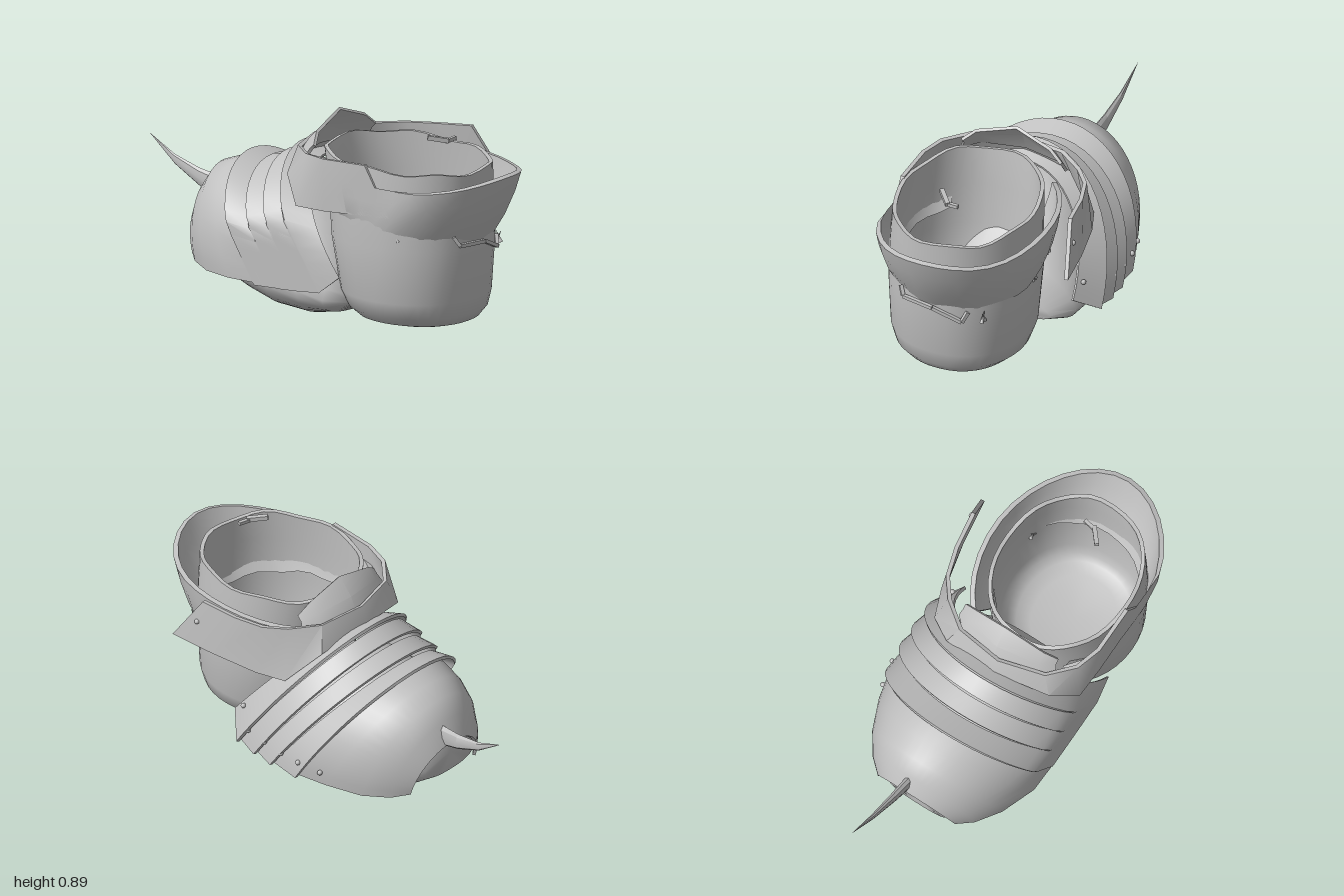
import * as THREE from 'three';
import { toCreasedNormals } from 'three/addons/utils/BufferGeometryUtils.js';

const FLAT_SIDE = -0.435; // the inner side of the shoe is cut off flat here
const steel = new THREE.MeshStandardMaterial({ color: 0xc0c0c0, side: THREE.DoubleSide });
steel.name = 'steel';

const lerp = THREE.MathUtils.lerp;
const power = (v, e) => Math.sign(v) * Math.abs(v) ** e;

function add(group, name, geometry) {
  const mesh = new THREE.Mesh(geometry, steel);
  mesh.name = name;
  group.add(mesh);
  return mesh;
}

// Skin over rows of [x, y, z] points; a thickness adds an inner skin and rims
function sheet(rows, thick = 0, crease = 0.6) {
  const n = rows.length, m = rows[0].length;
  const pos = rows.flat(2), idx = [];
  const quad = (a, b, c, d) => idx.push(a, b, c, a, c, d);
  for (let i = 0; i < n - 1; i++) {
    for (let j = 0; j < m - 1; j++) {
      const a = i * m + j;
      quad(a, a + 1, a + m + 1, a + m);
    }
  }
  const g = new THREE.BufferGeometry();
  g.setAttribute('position', new THREE.Float32BufferAttribute(pos, 3));
  g.setIndex([...idx]);
  if (thick) {
    g.computeVertexNormals();
    const nor = g.attributes.normal.array, k = n * m;
    const inner = pos.map((p, i) => p - nor[i] * thick);
    const outerFaces = [...idx];
    for (let i = 0; i < outerFaces.length; i += 3) {
      idx.push(outerFaces[i] + k, outerFaces[i + 2] + k, outerFaces[i + 1] + k);
    }
    const rim = (a, b) => quad(b, a, a + k, b + k);
    for (let j = 0; j < m - 1; j++) {
      rim(j, j + 1);
      rim((n - 1) * m + j + 1, (n - 1) * m + j);
    }
    for (let i = 0; i < n - 1; i++) {
      rim((i + 1) * m, i * m);
      rim(i * m + m - 1, (i + 1) * m + m - 1);
    }
    g.setAttribute('position', new THREE.Float32BufferAttribute([...pos, ...inner], 3));
    g.setIndex(idx);
  }
  const p = g.attributes.position;
  for (let i = 0; i < p.count; i++) p.setX(i, Math.max(FLAT_SIDE, p.getX(i)));
  g.deleteAttribute('normal');
  return toCreasedNormals(g, crease);
}

// Sample a function over an angle range
function sweep(from, to, steps, fn) {
  return Array.from({ length: steps + 1 }, (_, i) => fn(lerp(from, to, i / steps)));
}

// Arch over the foot, leaning from its apex back to its two feet
function arch({ top, bottom, w, cx = -0.05, lift = 0 }) {
  return sweep(-Math.PI / 2, Math.PI / 2, 28, a => {
    const h = Math.cos(a);
    return [cx + (w + lift) * Math.sin(a), lerp(bottom[1], top[1] + lift, h), lerp(bottom[0], top[0], h)];
  });
}

// Thin straight bar between two points
function bar(group, name, a, b, size) {
  const p = new THREE.Vector3(...a), q = new THREE.Vector3(...b);
  const mesh = add(group, name, new THREE.BoxGeometry(size, size, p.distanceTo(q)));
  mesh.position.copy(p).lerp(q, 0.5);
  mesh.lookAt(q);
}

export function createModel() {
  const model = new THREE.Group();
  model.name = 'armouredShoe';

  // Heel cup: rows of [y, centre z, radius z, radius x]
  const cup = [
    [0.03, 0.53, 0.001, 0.001], [0.03, 0.53, 0.2, 0.18], [0.05, 0.53, 0.265, 0.25], [0.09, 0.525, 0.3, 0.295],
    [0.16, 0.515, 0.325, 0.318], [0.4, 0.5, 0.36, 0.33], [0.6, 0.49, 0.365, 0.325], [0.755, 0.475, 0.38, 0.315],
  ];
  add(model, 'heelCup', sheet(cup.map(([y, cz, rz, rx], i) =>
    sweep(-Math.PI, Math.PI, 40, a => {
      const s = Math.sin(a), c = Math.cos(a);
      const rise = i === cup.length - 1 ? -0.02 * c + 0.008 * Math.sin(a * 7) : 0;
      return [-0.108 + rx * power(s, 0.88), y + rise, cz + rz * c];
    })), 0.018, 0.9));

  // Flared guard around the heel: rows of [height share, radius x, radius z]
  const guardRows = [[0, 0.33, 0.345], [0.35, 0.36, 0.415], [0.72, 0.378, 0.47], [1, 0.385, 0.5]];
  add(model, 'heelGuard', sheet(guardRows.map(([t, rx, rz]) =>
    sweep(-2.45, 2.45, 26, a => {
      const c = Math.cos(a);
      const low = 0.455 - 0.05 * c + 0.008 * Math.sin(a * 9);
      const high = 0.675 + 0.05 * Math.max(0, c) ** 4 + 0.03 * Math.max(0, Math.sin(a)) ** 4;
      return [-0.095 + rx * Math.sin(a), lerp(low, high, t), 0.5 + rz * c];
    })), 0.022));

  // Torn trim and crossed thorns along the lower edge of the guard
  const trim = [[-0.27, 0.465, 0.83], [-0.25, 0.425, 0.85], [-0.1, 0.42, 0.875], [0.03, 0.365, 0.85], [0.05, 0.41, 0.83]];
  trim.slice(1).forEach((p, i) => bar(model, 'tornTrim', trim[i], p, 0.016));
  const thorns = [[0.11, 0.385, 0.8], [0.18, 0.425, 0.64], [0.217, 0.45, 0.5], [0.215, 0.5, 0.35], [-0.41, 0.47, 0.62]];
  for (const [x, y, z] of thorns) {
    for (const tilt of [-0.5, 0.5]) {
      const thorn = add(model, 'thorn', new THREE.ConeGeometry(0.01, 0.06, 5));
      thorn.position.set(x, y, z);
      thorn.rotation.x = tilt;
    }
  }

  // Foot, broad at the sole and narrow on top: rows of [z, bottom, top, half width]
  const foot = [
    [0.32, 0.1, 0.14, 0.001], [0.31, 0.07, 0.2, 0.26], [0.22, 0.025, 0.32, 0.345], [0.1, 0, 0.48, 0.37],
    [-0.07, 0.01, 0.56, 0.37], [-0.21, 0.055, 0.55, 0.355], [-0.4, 0.13, 0.52, 0.31],
    [-0.54, 0.155, 0.48, 0.24], [-0.61, 0.2, 0.42, 0.15], [-0.615, 0.3, 0.31, 0.001],
  ];
  add(model, 'foot', sheet(foot.map(([z, lo, hi, w]) =>
    sweep(-Math.PI, Math.PI, 36, a => {
      const s = Math.sin(a), c = Math.cos(a), mid = lerp(lo, hi, 0.3);
      const x = w * power(s, 0.75) * (1 - 0.3 * Math.max(0, c));
      return [-0.055 + x, mid + (c > 0 ? hi - mid : mid - lo) * power(c, 0.85), z];
    })), 0, 0.9));

  // Overlapping instep plates, each lifted over the one nearer the toe
  const lines = [
    { top: [0.0, 0.68], bottom: [0.33, 0.24], w: 0.385 },
    { top: [-0.12, 0.7], bottom: [0.23, 0.16], w: 0.45 },
    { top: [-0.2, 0.645], bottom: [0.12, 0.15], w: 0.455 },
    { top: [-0.29, 0.605], bottom: [0.02, 0.145], w: 0.455 },
    { top: [-0.4, 0.615], bottom: [-0.12, 0.14], w: 0.44 },
  ];
  for (let i = 0; i < 4; i++) {
    add(model, 'instepPlate', sheet([arch({ ...lines[i], lift: -0.008 }), arch({ ...lines[i + 1], lift: 0.018 })], 0.014));
  }

  // Toe cap
  add(model, 'toeCap', sheet([
    { top: [-0.36, 0.6], bottom: [-0.08, 0.15], w: 0.435 },
    { top: [-0.47, 0.585], bottom: [-0.26, 0.15], w: 0.395 },
    { top: [-0.555, 0.555], bottom: [-0.42, 0.145], w: 0.335 },
    { top: [-0.61, 0.48], bottom: [-0.53, 0.155], w: 0.265 },
    { top: [-0.65, 0.385], bottom: [-0.59, 0.17], w: 0.2 },
  ].map(s => arch({ ...s, cx: -0.035 })), 0.014, 0.9));

  // Curved toe spike
  const spike = [[-0.6, 0.41, 0.055], [-0.72, 0.44, 0.04], [-0.86, 0.495, 0.022], [-1, 0.585, 0.001]];
  add(model, 'toeSpike', sheet(spike.map(([z, y, r]) =>
    sweep(-Math.PI, Math.PI, 8, a => [-0.01 + (-0.6 - z) * 0.1 + r * 0.4 * Math.sin(a), y + r * Math.cos(a), z]))));

  // Rivets on the outer side: [x, y, z]
  const rivets = [
    [0.345, 0.3, 0.26], [0.395, 0.235, 0.18], [0.405, 0.235, 0.07], [0.405, 0.225, -0.03],
    [0.4, 0.225, -0.13], [0.375, 0.215, -0.24], [0.4, 0.665, 0.49],
  ];
  for (const p of rivets) add(model, 'rivet', new THREE.SphereGeometry(0.012, 10, 6)).position.set(...p);

  // Ankle band with side flaps: [top x, y, z, bottom x, y, z]
  const band = [
    [0.385, 0.775, 0.47, 0.43, 0.55, 0.61], [0.36, 0.765, 0.3, 0.4, 0.54, 0.4], [0.32, 0.76, 0.17, 0.35, 0.525, 0.18],
    [0.25, 0.76, 0.08, 0.3, 0.52, 0.05], [0.13, 0.765, -0.01, 0.17, 0.65, -0.05], [-0.09, 0.77, -0.04, -0.09, 0.69, -0.07],
    [-0.3, 0.765, 0.02, -0.34, 0.64, -0.01], [-0.4, 0.765, 0.13, -0.43, 0.53, 0.1],
    [-0.435, 0.765, 0.25, -0.435, 0.53, 0.25], [-0.435, 0.77, 0.47, -0.435, 0.55, 0.6],
  ];
  add(model, 'ankleBand', sheet([band.map(p => p.slice(3)), band.map(p => p.slice(0, 3))], 0.018));

  // Pointed crest above the instep
  const crest = [
    [0.17, 0.78, 0.1], [0.11, 0.83, 0.085], [-0.06, 0.89, 0.07], [-0.25, 0.83, 0.085], [-0.31, 0.78, 0.11],
  ];
  add(model, 'crest', sheet([
    crest.map(([x], i) => [x * 1.05, 0.72, [0.06, 0, -0.04, 0, 0.07][i]]),
    crest.map(([x, y], i) => [x, lerp(0.74, y, 0.5), [0.08, 0.04, 0.0, 0.04, 0.09][i]]),
    crest,
  ], 0.014));

  // Loose sliver above the opening
  bar(model, 'sliver', [-0.17, 0.862, 0.62], [-0.11, 0.845, 0.69], 0.02);
  bar(model, 'sliver', [-0.12, 0.842, 0.68], [-0.06, 0.848, 0.69], 0.016);

  return model;
}
